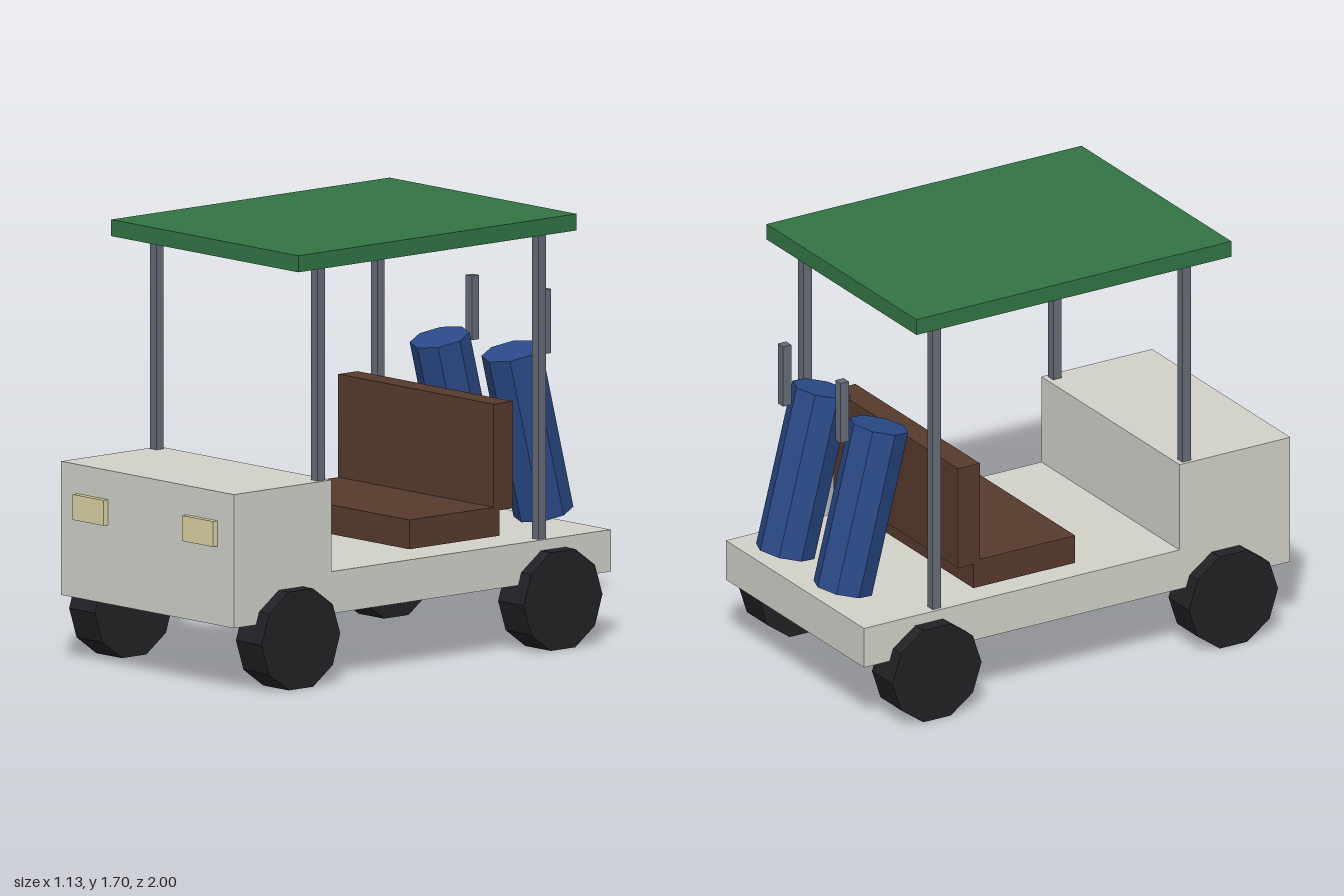
import * as THREE from 'three';

const paint = (color) => new THREE.MeshStandardMaterial({ color, flatShading: true });

export function createModel() {
  const cart = new THREE.Group();
  cart.name = 'golfCart';

  const bodyPaint = paint(0xd2d2ca);
  const roofPaint = paint(0x327545);
  const seatBrown = paint(0x573a2d);
  const postGrey = paint(0x666c78);
  const tyreBlack = paint(0x222226);
  const bagBlue = paint(0x2b4a88);
  const lampCream = paint(0xdcd3a4);

  const add = (name, geometry, material, x, y, z) => {
    const mesh = new THREE.Mesh(geometry, material);
    mesh.name = name;
    mesh.position.set(x, y, z);
    cart.add(mesh);
    return mesh;
  };

  // Box given by its extents: centre x, width, then y and z ranges
  const box = (name, material, x, width, [y0, y1], [z0, z1]) =>
    add(name, new THREE.BoxGeometry(width, y1 - y0, z1 - z0), material,
      x, (y0 + y1) / 2, (z0 + z1) / 2);

  // L-shaped body: low deck and raised front cowl in one side profile
  const profile = new THREE.Shape([
    [0.975, 0.265], [0.975, 0.79], [0.47, 0.79], [0.47, 0.43], [-0.97, 0.43], [-0.97, 0.265],
  ].map(([z, y]) => new THREE.Vector2(-z, y)));
  const bodyGeometry = new THREE.ExtrudeGeometry(profile, { depth: 1.01, bevelEnabled: false });
  bodyGeometry.translate(0, 0, -0.505).rotateY(Math.PI / 2);
  add('body', bodyGeometry, bodyPaint, 0, 0, 0);

  // Bench and canopy
  box('seat', seatBrown, 0, 0.91, [0.46, 0.575], [-0.44, 0.025]);
  box('seatBack', seatBrown, 0, 0.91, [0.56, 0.98], [-0.51, -0.41]);
  box('roof', roofPaint, 0, 1.095, [1.635, 1.7], [-0.757, 0.68]);

  for (const [side, s] of [['left', 1], ['right', -1]]) {
    // Roof posts
    box(`${side}FrontPost`, postGrey, s * 0.472, 0.038, [0.79, 1.64], [0.492, 0.53]);
    box(`${side}RearPost`, postGrey, s * 0.472, 0.038, [0.43, 1.64], [-0.648, -0.61]);

    // Headlights
    box(`${side}Headlight`, lampCream, s * 0.32, 0.18, [0.575, 0.675], [0.965, 1]);

    // Ten-sided wheels
    for (const [end, z] of [['Front', 0.68], ['Rear', -0.673]]) {
      const wheel = new THREE.CylinderGeometry(0.203, 0.203, 0.15, 10).rotateZ(Math.PI / 2);
      add(`${side}${end}Wheel`, wheel, tyreBlack, s * 0.488, 0.195, z);
    }

    // Leaning golf bag with an upright club handle
    const bag = add(`${side}Bag`, new THREE.CylinderGeometry(0.118, 0.118, 0.67, 8), bagBlue,
      s * 0.21, 0.797, -0.8);
    bag.rotation.x = 0.25;
    box(`${side}ClubHandle`, postGrey, s * 0.21, 0.038, [1.095, 1.347], [-0.905, -0.867]);
  }

  return cart;
}
